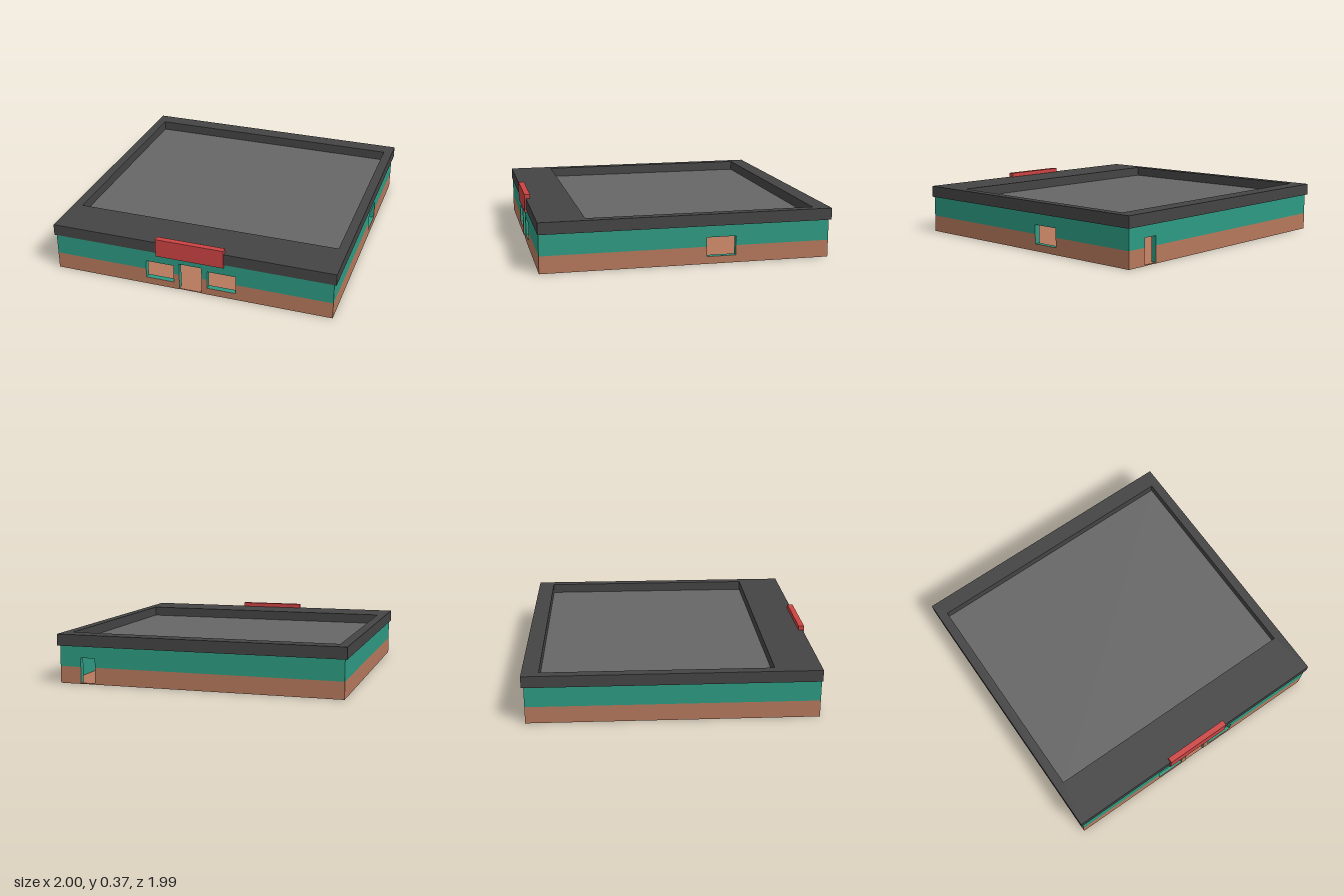
import * as THREE from 'three';
import { mergeGeometries } from 'three/addons/utils/BufferGeometryUtils.js';

const mat = (name, color) => {
  const m = new THREE.MeshStandardMaterial({ color });
  m.name = name;
  return m;
};

// Box given by its min and max corners
function boxGeo(x0, x1, y0, y1, z0, z1) {
  return new THREE.BoxGeometry(x1 - x0, y1 - y0, z1 - z0)
    .translate((x0 + x1) / 2, (y0 + y1) / 2, (z0 + z1) / 2);
}

// Horizontal wall band with rectangular openings [x0, x1, y0, y1] cut out
function bandGeo(len, y0, y1, z0, z1, openings) {
  const parts = [];
  const add = (a, b, c, d) => {
    if (b - a > 1e-4 && d - c > 1e-4) parts.push(boxGeo(a, b, c, d, z0, z1));
  };
  let x = -len / 2;
  for (const [a, b, c, d] of openings) {
    add(x, a, y0, y1);
    add(a, b, y0, Math.min(c, y1));
    add(a, b, Math.max(d, y0), y1);
    x = b;
  }
  add(x, len / 2, y0, y1);
  return mergeGeometries(parts);
}

export function createModel() {
  const teal = mat('teal', 0x2d9a82);
  const clay = mat('clay', 0xb5785c);
  const charcoal = mat('charcoal', 0x444444);
  const grey = mat('grey', 0x666666);
  const red = mat('red', 0xcc4343);
  const purple = mat('purple', 0xa066cc);

  const model = new THREE.Group();
  model.name = 'shopBuilding';
  const add = (name, geo, material, parent = model) => {
    const mesh = new THREE.Mesh(geo, material);
    mesh.name = name;
    parent.add(mesh);
    return mesh;
  };

  const HX = 0.985, HZ = 0.98, TOP = 0.26, SKIN = 0.003, THICK = 0.04;
  const OUT = 0.117, IN = 0.125; // heights of outer and inner colour change

  // Walls: teal core with two-tone skins, reversed on the inside
  function wall(name, len, dist, turn, openings) {
    const g = new THREE.Group();
    g.name = name;
    const inner = len - 2 * THICK;
    const back = -THICK, front = 0;
    add(name + 'Core', bandGeo(len - 2 * SKIN, 0.002, TOP, back + SKIN, -SKIN, openings), teal, g);
    add(name + 'OuterBase', bandGeo(len, 0, OUT, -SKIN, front, openings), clay, g);
    add(name + 'OuterTop', bandGeo(len, OUT, TOP, -SKIN, front, openings), teal, g);
    add(name + 'InnerBase', bandGeo(inner, 0.005, IN, back, back + SKIN, openings), teal, g);
    add(name + 'InnerTop', bandGeo(inner, IN, TOP, back, back + SKIN, openings), clay, g);
    g.rotation.y = turn;
    g.position.set(Math.sin(turn) * dist, 0, Math.cos(turn) * dist);
    model.add(g);
  }
  wall('frontWall', 2 * HX, HZ, 0, [
    [-0.32, -0.12, 0.05, 0.18], // window
    [-0.08, 0.08, 0, 0.2],      // door
    [0.12, 0.32, 0.05, 0.18],   // window
  ]);
  wall('backWall', 2 * HX, HZ, Math.PI, [[-0.835, -0.73, 0, 0.18]]);
  wall('rightWall', 2 * HZ, HX, Math.PI / 2, [[0.13, 0.33, 0.05, 0.18]]);
  wall('leftWall', 2 * HZ, HX, -Math.PI / 2, []);

  // Floor slab
  add('floor', boxGeo(-HX + SKIN, HX - SKIN, 0, 0.006, -HZ + SKIN, HZ - SKIN), clay);

  // Partitions around the back room
  for (const [name, x0, x1, z0, z1] of [
    ['roomFrontPartition', -0.945, -0.2, -0.04, 0],
    ['roomSidePartition', -0.24, -0.2, -0.94, -0.04],
  ]) {
    add(name + 'Base', boxGeo(x0, x1, 0.005, IN, z0, z1), teal);
    add(name + 'Top', boxGeo(x0, x1, IN, TOP, z0, z1), clay);
  }

  // Counter
  add('counter', boxGeo(-0.2, 0.48, 0.005, 0.068, 0, 0.06), purple);

  // Roof frame with a sunken deck
  const rim = new THREE.Shape([[-1, -0.985], [1, -0.985], [1, 0.995], [-1, 0.995]]
    .map(([x, y]) => new THREE.Vector2(x, y)));
  rim.holes.push(new THREE.Path([[-0.935, -0.67], [-0.935, 0.88], [0.935, 0.88], [0.935, -0.67]]
    .map(([x, y]) => new THREE.Vector2(x, y))));
  const rimGeo = new THREE.ExtrudeGeometry(rim, { depth: 0.08, bevelEnabled: false });
  rimGeo.rotateX(-Math.PI / 2).translate(0, TOP, 0);
  add('roofRim', rimGeo, charcoal);
  add('ceiling', boxGeo(-0.935, 0.935, TOP, 0.265, -0.88, 0.67), charcoal);
  add('roofDeck', boxGeo(-0.935, 0.935, 0.265, 0.272, -0.88, 0.67), grey);

  // Blank sign board over the door
  add('signBoard', boxGeo(-0.24, 0.24, 0.24, 0.37, 0.955, 0.995), red);

  return model;
}
